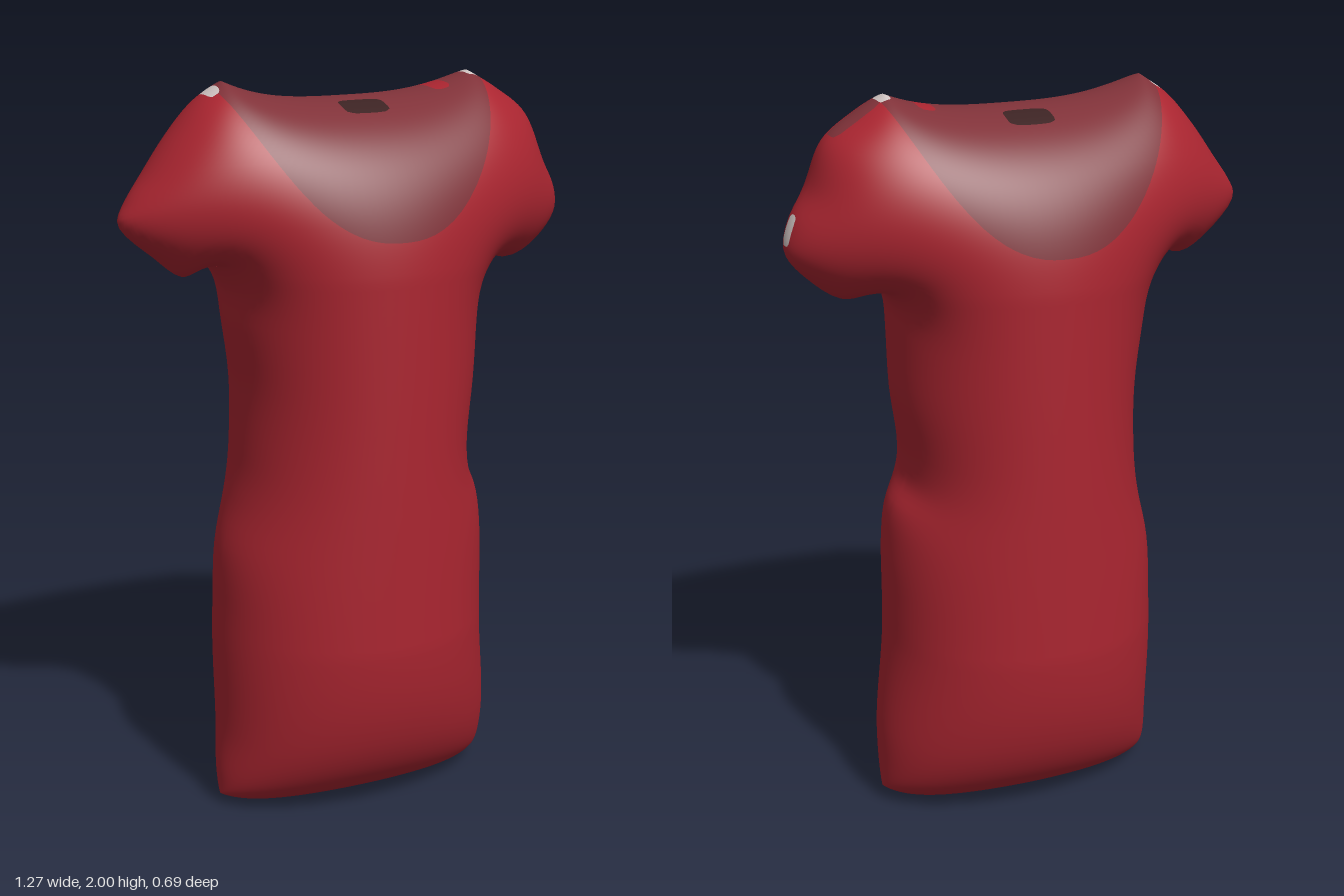
import * as THREE from 'three';
import { mergeVertices } from 'three/addons/utils/BufferGeometryUtils.js';

// Rows of the garment outline, hem to neckline:
// right end x, y; left end x, y; height at the middle
const ROWS = [
  [-0.39, 0.03, 0.41, 0.04, 0.0], [-0.39, 0.1, 0.412, 0.12, 0.09],
  [-0.38, 0.22, 0.41, 0.23, 0.22], [-0.38, 0.45, 0.382, 0.47, 0.46],
  [-0.376, 0.57, 0.38, 0.6, 0.58], [-0.368, 0.74, 0.38, 0.76, 0.75],
  [-0.335, 0.87, 0.365, 0.88, 0.87], [-0.32, 0.95, 0.325, 0.95, 0.95],
  [-0.314, 1.03, 0.322, 1.03, 1.03], [-0.312, 1.2, 0.345, 1.19, 1.19],
  [-0.335, 1.36, 0.35, 1.36, 1.35], [-0.35, 1.47, 0.356, 1.45, 1.46],
  [-0.41, 1.54, 0.397, 1.497, 1.54], [-0.466, 1.508, 0.487, 1.48, 1.6],
  [-0.54, 1.56, 0.577, 1.54, 1.66], [-0.635, 1.656, 0.63, 1.61, 1.72],
  [-0.61, 1.71, 0.614, 1.69, 1.78], [-0.56, 1.775, 0.566, 1.767, 1.82],
  [-0.49, 1.87, 0.52, 1.884, 1.87], [-0.42, 1.95, 0.434, 1.95, 1.915],
  [-0.35, 2.0, 0.36, 1.995, 1.945],
];
const NI = 130, NJ = 64, W = NJ + 1;

// Flat grid that fills the outline, finer towards its edges
function flatGrid() {
  const right = new THREE.CatmullRomCurve3(ROWS.map(r => new THREE.Vector3(r[0], r[1], 0)));
  const left = new THREE.CatmullRomCurve3(ROWS.map(r => new THREE.Vector3(r[2], r[3], r[4])));
  const pts = [];
  for (let i = 0; i <= NI; i++) {
    const t = (1 - Math.cos(Math.PI * i / NI)) / 2;
    const a = right.getPoint(t), b = left.getPoint(t), mid = b.z;
    const power = 6 - 3 * THREE.MathUtils.smoothstep(mid, 1.8, 1.945);
    for (let j = 0; j <= NJ; j++) {
      const s = Math.sin(Math.PI * (j / NJ - 0.5));
      const end = s < 0 ? a.y : b.y;
      pts.push([a.x + (b.x - a.x) * (s + 1) / 2, mid + (end - mid) * Math.abs(s) ** power]);
    }
  }
  return pts;
}

function gridTriangles() {
  const tris = [];
  for (let i = 0; i < NI; i++) for (let j = 0; j < NJ; j++) {
    const a = i * W + j, b = a + 1, c = b + W, d = a + W;
    tris.push([a, b, c], [a, c, d]);
  }
  return tris;
}

// Pillow height: a membrane held at the outline and pushed out evenly
function inflate(pts, tris) {
  const links = pts.map(() => new Map()), load = new Float64Array(pts.length);
  for (const t of tris) for (let k = 0; k < 3; k++) {
    const o = t[k], p = t[(k + 1) % 3], q = t[(k + 2) % 3];
    const ux = pts[p][0] - pts[o][0], uy = pts[p][1] - pts[o][1];
    const vx = pts[q][0] - pts[o][0], vy = pts[q][1] - pts[o][1];
    const area2 = Math.max(Math.abs(ux * vy - uy * vx), 1e-9);
    const cot = (ux * vx + uy * vy) / area2 / 2;
    links[p].set(q, (links[p].get(q) || 0) + cot);
    links[q].set(p, (links[q].get(p) || 0) + cot);
    load[o] += area2 / 3;
  }
  const nodes = [];
  for (let i = 1; i < NI; i++) for (let j = 1; j < NJ; j++) {
    const n = i * W + j, ids = [...links[n].keys()], w = [...links[n].values()];
    nodes.push({ n, ids, w, sum: w.reduce((x, y) => x + y, 0) });
  }
  const u = new Float64Array(pts.length);
  for (let pass = 0; pass < 1500; pass++) for (const { n, ids, w, sum } of nodes) {
    let v = load[n];
    for (let k = 0; k < ids.length; k++) v += w[k] * u[ids[k]];
    u[n] += 1.9 * (v / sum - u[n]);
  }
  // Even out the depth along the torso
  const mid = i => i * W + NJ / 2;
  let lo = 0, hi = NI;
  while (pts[mid(lo)][1] < 0.5) lo++;
  while (pts[mid(hi)][1] > 1.52) hi--;
  return pts.map((p, n) => {
    const row = THREE.MathUtils.clamp(Math.floor(n / W), lo, hi);
    return 0.346 * Math.sqrt(Math.max(u[n], 0) / u[mid(row)]);
  });
}

function garmentGeometry() {
  const pts = flatGrid(), tris = gridTriangles(), depth = inflate(pts, tris);
  const pos = [], index = [], N = pts.length;
  for (const side of [1, -1]) pts.forEach((p, n) => pos.push(p[0], p[1], side * depth[n]));
  for (const [a, b, c] of tris) index.push(a, b, c, a + N, c + N, b + N);
  let g = new THREE.BufferGeometry();
  g.setAttribute('position', new THREE.Float32BufferAttribute(pos, 3));
  g.setIndex(index);
  g = mergeVertices(g, 1e-5);
  g.computeVertexNormals();
  return g;
}

// Cuts a triangle where f changes sign, giving pieces inside and outside
function split(tri, f) {
  const half = sign => {
    const poly = [];
    tri.forEach((a, k) => {
      const b = tri[(k + 1) % 3], fa = sign * f(...a), fb = sign * f(...b);
      if (fa >= 0) poly.push(a);
      if ((fa > 0 && fb < 0) || (fa < 0 && fb > 0)) {
        const t = fa / (fa - fb);
        poly.push(a.map((v, m) => v + (b[m] - v) * t));
      }
    });
    return poly.slice(2).map((p, k) => [poly[0], poly[k + 1], p]);
  };
  const v = tri.map(p => f(...p));
  if (v.every(x => x >= 0)) return [[tri], []];
  if (v.every(x => x < 0)) return [[], [tri]];
  return [half(1), half(-1)];
}

// Rounded block used to mark out a small spot
const spot = (cx, cy, cz, a, b, c) => (x, y, z) =>
  1 - ((x - cx) / a) ** 4 - ((y - cy) / b) ** 4 - ((z - cz) / c) ** 4;

export function createModel() {
  const mat = (name, color) => {
    const m = new THREE.MeshStandardMaterial({ color });
    m.name = name;
    return m;
  };
  const red = mat('red cloth', 0xaa2530);
  const dusky = mat('dusky neck', 0x803239);
  const dark = mat('dark label', 0x3c2323);
  const pale = mat('pale tag', 0xd2c6c4);

  // Coloured areas, the first match wins
  const areas = [
    ['frontLabel', dark, spot(0.005, 1.92, 0.095, 0.065, 0.12, 0.04)],
    ['backLabel', dark, spot(0.005, 1.92, -0.095, 0.065, 0.12, 0.04)],
    ['rightShoulderTag', pale, spot(-0.382, 1.98, 0, 0.016, 0.08, 0.042)],
    ['leftShoulderTag', pale, spot(0.365, 1.98, 0, 0.017, 0.08, 0.036)],
    ['leftCuffTag', pale, spot(0.62, 1.67, 0, 0.03, 0.04, 0.027)],
    ['neckSpot', red, spot(0.26, 1.96, 0, 0.026, 0.1, 0.06)],
    ['leftShoulderPatch', dusky, spot(0.44, 1.93, 0, 0.065, 0.1, 0.04)],
    ['neckOpening', dusky, (x, y) => y - 1.614 - 0.37 * (Math.abs(x) / 0.38) ** 2.4],
    ['dressBody', red, () => 1],
  ].map(([name, material, f]) => ({ name, material, f, pos: [], nor: [] }));

  const g = garmentGeometry(), P = g.attributes.position, Nn = g.attributes.normal;
  const vertex = i => [P.getX(i), P.getY(i), P.getZ(i), Nn.getX(i), Nn.getY(i), Nn.getZ(i)];
  for (let k = 0; k < g.index.count; k += 3) {
    let rest = [[0, 1, 2].map(m => vertex(g.index.getX(k + m)))];
    for (const area of areas) {
      const next = [];
      for (const tri of rest) {
        const [inside, outside] = split(tri, area.f);
        for (const p of inside.flat()) {
          area.pos.push(p[0], p[1], p[2]);
          area.nor.push(p[3], p[4], p[5]);
        }
        next.push(...outside);
      }
      rest = next;
    }
  }

  const group = new THREE.Group();
  group.name = 'dress';
  for (const { name, material, pos, nor } of areas) {
    if (!pos.length) continue;
    const geo = new THREE.BufferGeometry();
    geo.setAttribute('position', new THREE.Float32BufferAttribute(pos, 3));
    geo.setAttribute('normal', new THREE.Float32BufferAttribute(nor, 3));
    const mesh = new THREE.Mesh(geo, material);
    mesh.name = name;
    group.add(mesh);
  }
  return group;
}
